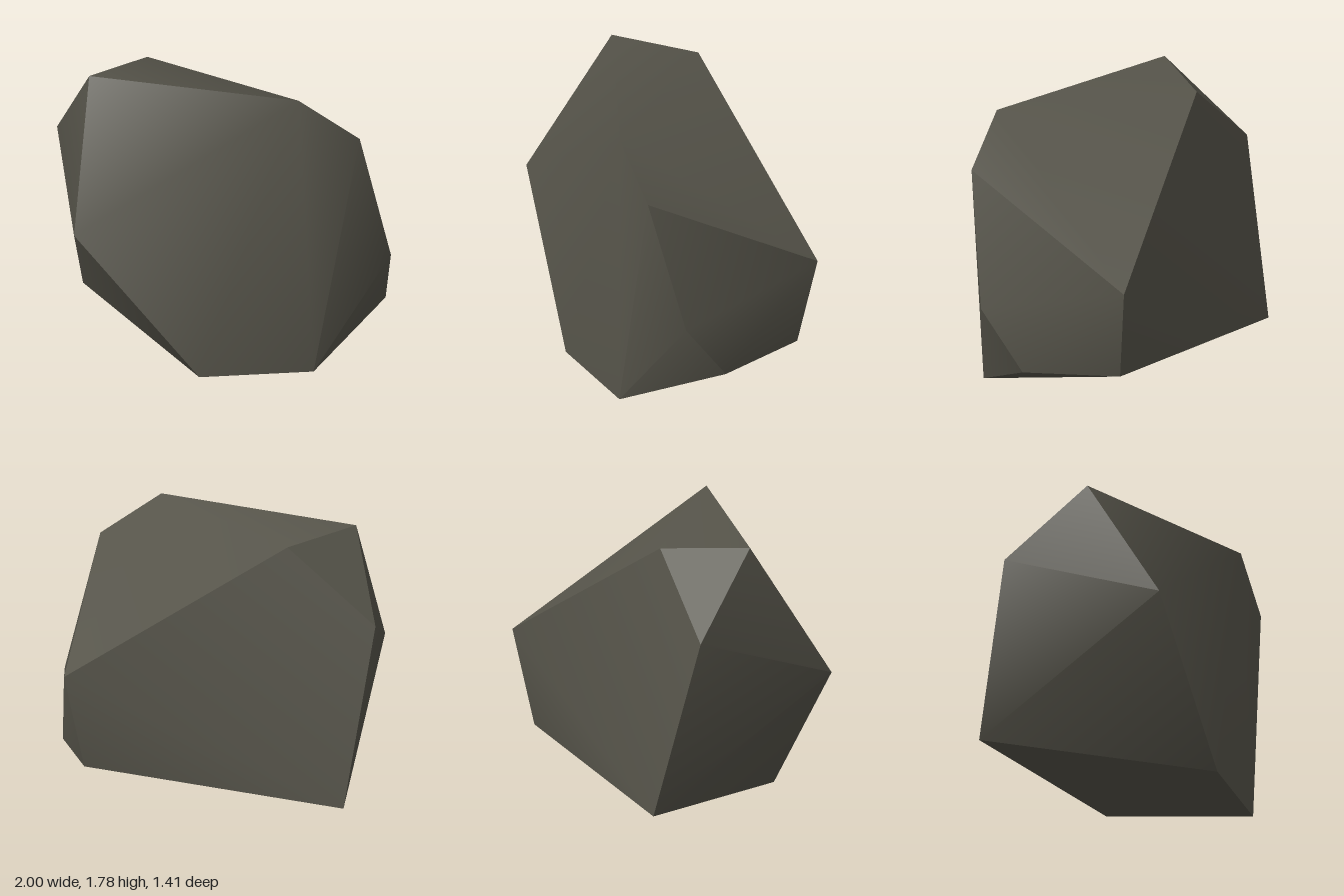
import * as THREE from 'three';
import { toCreasedNormals } from 'three/addons/utils/BufferGeometryUtils.js';
import { ConvexGeometry } from 'three/addons/geometries/ConvexGeometry.js';

export function createModel() {
  const group = new THREE.Group();
  group.name = 'rock';
  const stone = new THREE.MeshStandardMaterial({ color: 0x56544a });
  stone.name = 'dark stone';

  // Corners of the boulder; its facets are their convex hull
  const corners = [
    // crown
    [-0.83, 1.784, 0.01], [0.395, 1.784, 0.65], [-0.41, 1.755, -0.37],
    // shoulders
    [0.775, 1.52, 0.67], [-0.96, 1.28, -0.49],
    // waist
    [-1, 0.92, 0.525], [0.98, 0.92, -0.43], [0.993, 0.69, 0.52],
    // lower side
    [1, 0.31, 0.24], [0.855, 0.315, -0.355],
    // foot
    [-0.765, 0.16, -0.71], [0.48, 0.01, 0.705], [-0.235, 0, 0.68],
  ].map((c) => new THREE.Vector3(...c));

  // Soften shallow edges, keep the strong ones sharp
  const boulder = new THREE.Mesh(toCreasedNormals(new ConvexGeometry(corners), 0.73), stone);
  boulder.name = 'boulder';
  group.add(boulder);
  return group;
}
